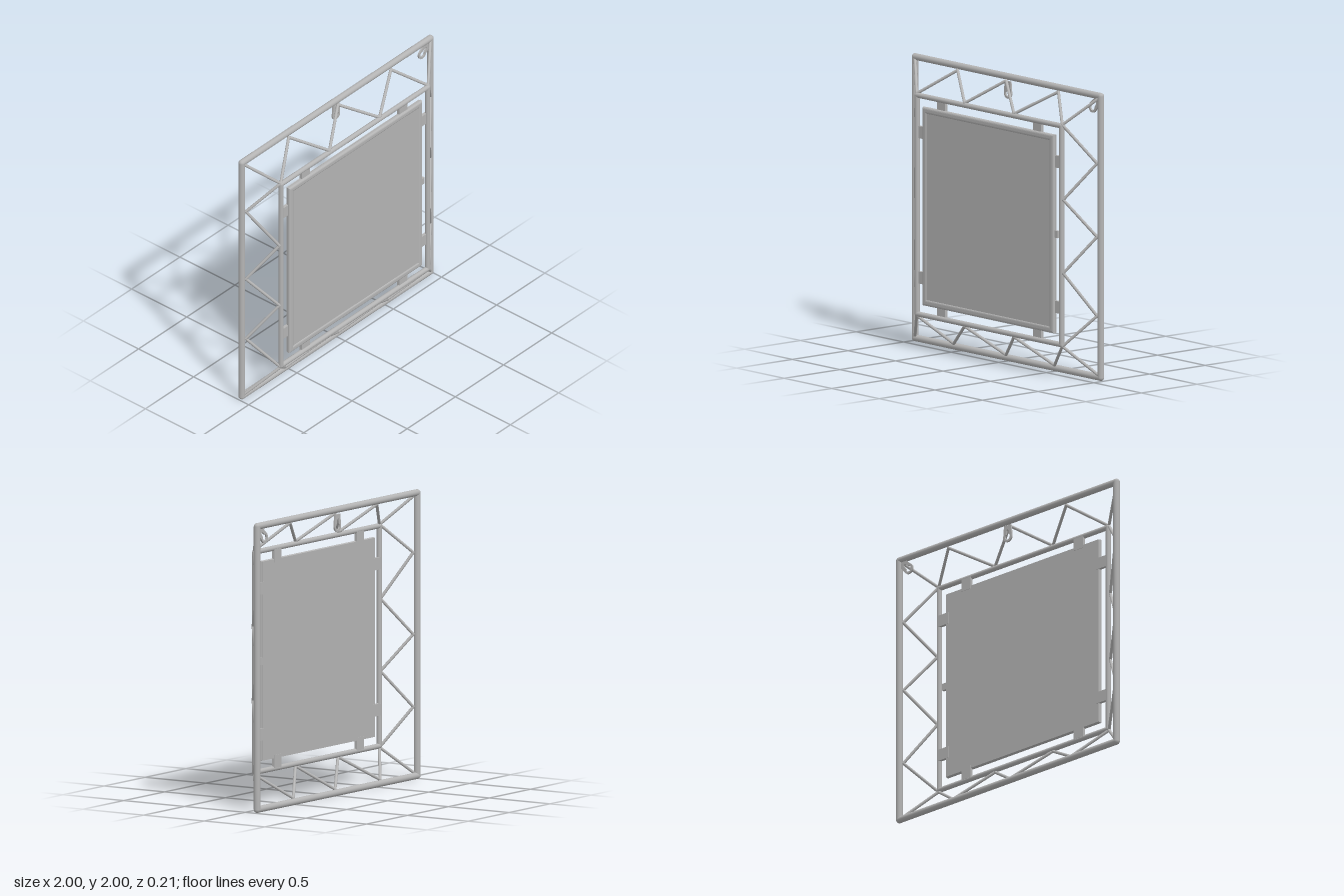
import * as THREE from 'three';

const metal = new THREE.MeshStandardMaterial({ color: 0xb4b4b4 });
metal.name = 'brushed metal';

const OUT_Z = -0.083, IN_Z = 0.083;

function mesh(name, geometry, parent) {
  const m = new THREE.Mesh(geometry, metal);
  m.name = name;
  parent.add(m);
  return m;
}

// Rods joined by round knuckles along a list of points
function rodChain(name, points, radius, sides, parent) {
  const group = new THREE.Group();
  group.name = name;
  const pts = points.map((p) => new THREE.Vector3(...p));
  const up = new THREE.Vector3(0, 1, 0);
  pts.forEach((p, i) => {
    mesh(name + 'Joint', new THREE.SphereGeometry(radius, sides, 8), group).position.copy(p);
    if (i === 0) return;
    const dir = p.clone().sub(pts[i - 1]);
    const rod = mesh(name + 'Rod', new THREE.CylinderGeometry(radius, radius, dir.length(), sides, 1, true), group);
    rod.position.copy(p).add(pts[i - 1]).multiplyScalar(0.5);
    rod.quaternion.setFromUnitVectors(up, dir.normalize());
  });
  parent.add(group);
}

function squareFrame(name, half, z, radius, parent) {
  const y0 = 1 - half, y1 = 1 + half;
  rodChain(name, [[-half, y0, z], [half, y0, z], [half, y1, z], [-half, y1, z], [-half, y0, z]], radius, 20, parent);
}

function squarePoints(h) {
  return [[-h, -h], [h, -h], [h, h], [-h, h]].map(([x, y]) => new THREE.Vector2(x, y));
}

// Flat tab with a keyhole, hanging down from its origin
function keyholeHanger(parent) {
  const s = new THREE.Shape();
  s.moveTo(-0.03, 0);
  s.lineTo(-0.038, -0.085);
  s.absarc(0, -0.085, 0.038, Math.PI, Math.PI * 2, false);
  s.lineTo(0.03, 0);
  const hole = new THREE.Path();
  hole.absarc(0, -0.085, 0.022, Math.PI * 0.7, Math.PI * 2.3, false);
  hole.lineTo(0.009, -0.04);
  hole.absarc(0, -0.04, 0.009, 0, Math.PI, false);
  s.holes.push(hole);
  const g = new THREE.ExtrudeGeometry(s, { depth: 0.012, bevelEnabled: false, curveSegments: 12 });
  return mesh('keyholeHanger', g, parent);
}

export function createModel() {
  const model = new THREE.Group();
  model.name = 'openTrussMirrorFrame';

  // Large rear frame and smaller front frame
  squareFrame('outerFrame', 0.977, OUT_Z, 0.023, model);
  squareFrame('innerFrame', 0.76, IN_Z, 0.018, model);

  // Zigzag wires between the frames; even points sit on the front frame
  const zig = (name, list) =>
    rodChain(name, list.map(([x, y], i) => [x, y, i % 2 ? -0.066 : IN_Z + 0.002]), 0.0105, 10, model);
  zig('topTruss', [[-0.765, 1.77], [-0.51, 1.95], [-0.26, 1.775], [0, 1.95], [0.26, 1.775], [0.55, 1.95], [0.768, 1.77]]);
  zig('bottomTruss', [[-0.765, 0.23], [-0.55, 0.045], [-0.26, 0.225], [0, 0.045], [0.26, 0.225], [0.51, 0.045], [0.768, 0.23]]);
  zig('rightTruss', [[-0.765, 1.77], [-0.955, 1.565], [-0.778, 1.255], [-0.955, 1], [-0.778, 0.755], [-0.955, 0.5], [-0.765, 0.23]]);
  zig('leftTruss', [[0.768, 1.77], [0.957, 1.51], [0.778, 1.25], [0.957, 1], [0.778, 0.74], [0.957, 0.45], [0.768, 0.23]]);

  // Diagonal wires at the corners
  for (const sx of [-1, 1]) for (const sy of [-1, 1]) {
    rodChain('cornerWire', [[sx * 0.766, 1 + sy * 0.77, IN_Z], [sx * 0.966, 1 + sy * 0.962, -0.073]], 0.0105, 10, model);
  }

  // Central panel: backing sheet with a bevelled rim around it
  mesh('panelSheet', new THREE.BoxGeometry(1.374, 1.374, 0.028), model).position.set(0, 1, 0.081);
  const rim = new THREE.Shape(squarePoints(0.675));
  rim.holes.push(new THREE.Path(squarePoints(0.66).reverse()));
  const rimGeometry = new THREE.ExtrudeGeometry(rim, {
    depth: 0.008, bevelEnabled: true, bevelSize: 0.015, bevelThickness: 0.012, bevelSegments: 4,
  });
  mesh('panelRim', rimGeometry, model).position.set(0, 1, 0.081);

  // Straps holding the panel in the front frame
  for (const a of [-0.505, 0.505]) for (const side of [-1, 1]) {
    mesh('strap', new THREE.BoxGeometry(0.084, 0.09, 0.022), model).position.set(a, 1 + side * 0.71, 0.075);
    mesh('strap', new THREE.BoxGeometry(0.09, 0.084, 0.022), model).position.set(side * 0.71, 1 + a, 0.075);
  }

  // Small catch on one edge of the panel
  mesh('catch', new THREE.BoxGeometry(0.04, 0.05, 0.02), model).position.set(0.703, 1, 0.078);

  // Hangers at the top middle and at one corner
  keyholeHanger(model).position.set(0, 1.945, -0.09);
  const corner = keyholeHanger(model);
  corner.position.set(0.952, 1.95, -0.09);
  corner.rotation.z = -Math.PI / 4;

  return model;
}
